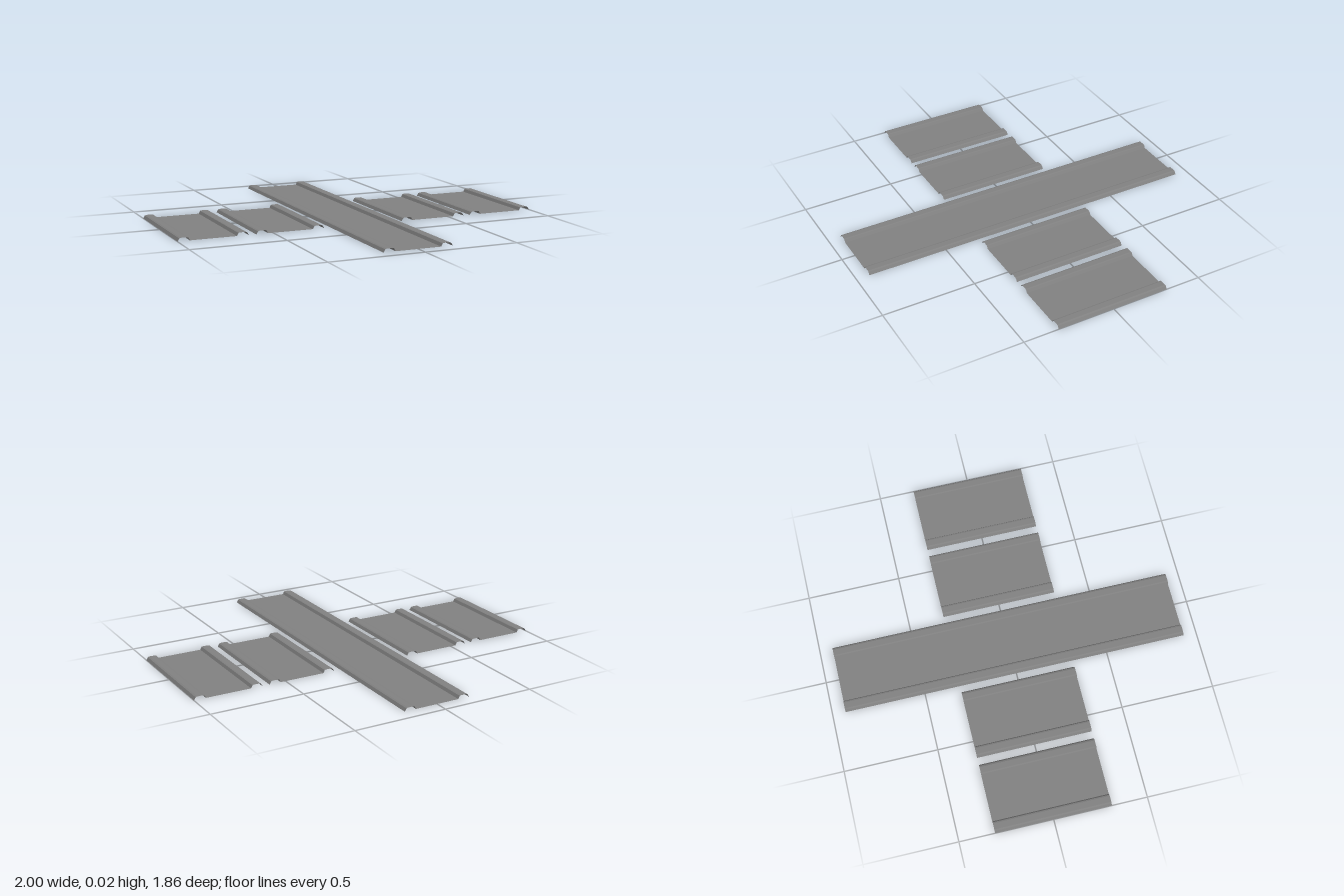
import * as THREE from 'three';

const metal = new THREE.MeshStandardMaterial({ color: 0x808080, side: THREE.DoubleSide });
metal.name = 'grey sheet metal';

// Half of the pressed profile, from the panel edge to the outer lip: [x, y]
const half = [[0.122, 0.001], [0.13, 0.016], [0.137, 0.018], [0.168, 0.018], [0.176, 0.015], [0.185, 0]];
const profile = [...half.map(([x, y]) => [-x, y]).reverse(), ...half];

// Open sheet: the profile swept along z, with separate vertices per strip for crisp folds
function sheet(length) {
  const positions = [];
  const h = length / 2;
  for (let i = 0; i < profile.length - 1; i++) {
    const [x0, y0] = profile[i];
    const [x1, y1] = profile[i + 1];
    positions.push(x0, y0, h, x1, y1, h, x1, y1, -h);
    positions.push(x0, y0, h, x1, y1, -h, x0, y0, -h);
  }
  const geometry = new THREE.BufferGeometry();
  geometry.setAttribute('position', new THREE.Float32BufferAttribute(positions, 3));
  geometry.computeVertexNormals();
  return geometry;
}

export function createModel() {
  const model = new THREE.Group();
  model.name = 'ribbedPanels';

  // Long central panel
  const centre = new THREE.Mesh(sheet(1.86), metal);
  centre.name = 'longPanel';
  model.add(centre);

  // Two short panels on each side
  const shortSheet = sheet(0.62);
  for (const [side, label] of [[1, 'left'], [-1, 'right']]) {
    for (const [x, place] of [[0.406, 'Inner'], [0.815, 'Outer']]) {
      const panel = new THREE.Mesh(shortSheet, metal);
      panel.name = `${label}${place}Panel`;
      panel.position.x = side * x;
      model.add(panel);
    }
  }
  return model;
}
